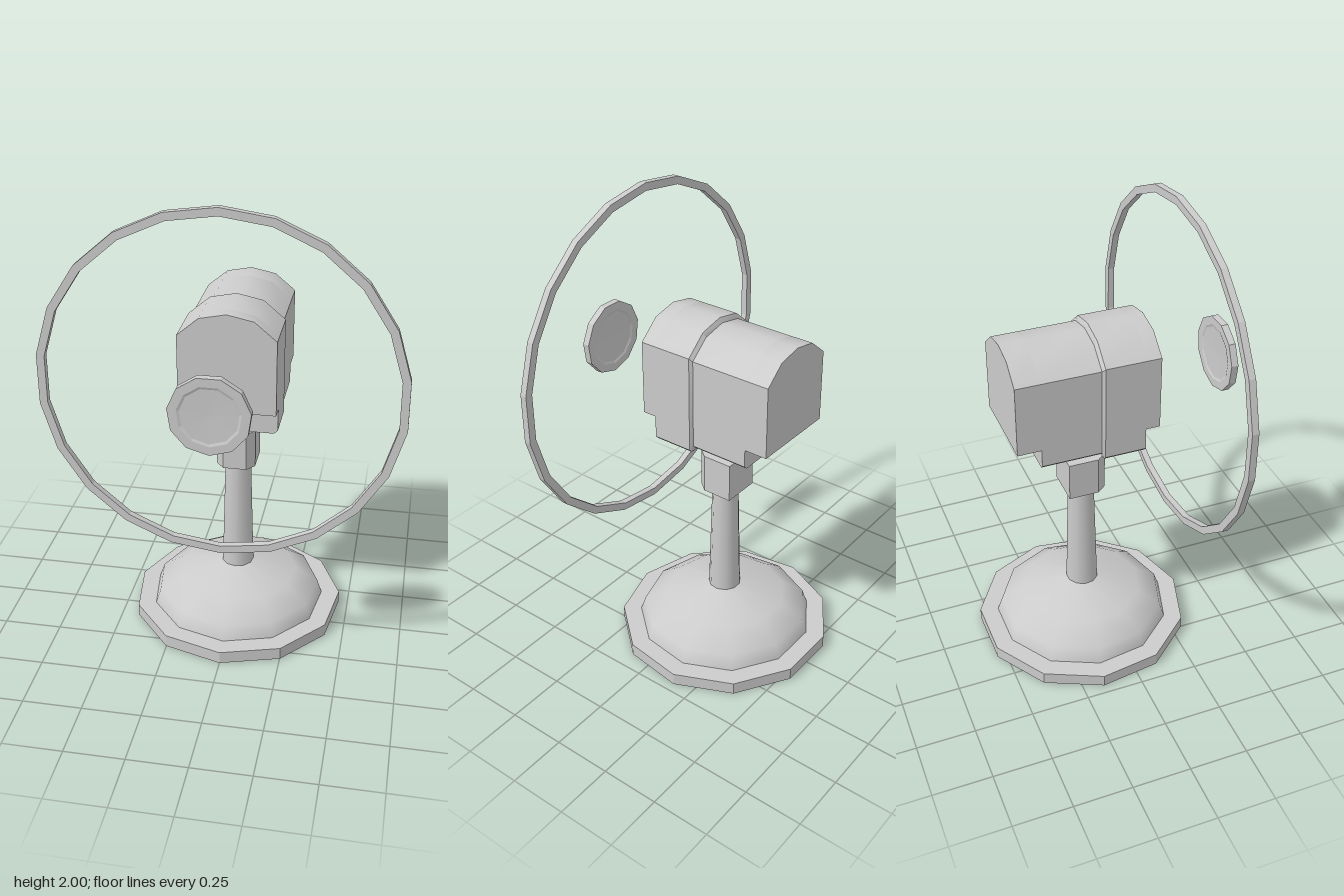
import * as THREE from 'three';
import { toCreasedNormals } from 'three/addons/utils/BufferGeometryUtils.js';

const CENTER_Z = -0.094; // axis of the stand
const HEAD_Y = 1.27; // axis of the ring and disc

const smooth = new THREE.MeshStandardMaterial({ color: 0xcccccc, side: THREE.DoubleSide });
const flat = new THREE.MeshStandardMaterial({ color: 0xcccccc, side: THREE.DoubleSide, flatShading: true });

const vectors = (points) => points.map(([x, y]) => new THREE.Vector2(x, y));

export function createModel() {
  const model = new THREE.Group();

  function add(name, geometry, material = flat, x = 0, y = 0, z = 0, parent = model) {
    const mesh = new THREE.Mesh(geometry, material);
    mesh.name = name;
    mesh.position.set(x, y, z);
    parent.add(mesh);
    return mesh;
  }
  const lathe = (points, sides) => new THREE.LatheGeometry(vectors(points), sides);

  // Extrudes an outline between two depths
  function slab(points, back, front) {
    const geometry = new THREE.ExtrudeGeometry(new THREE.Shape(vectors(points)), {
      depth: front - back, bevelEnabled: false,
    });
    return geometry.translate(0, 0, back);
  }

  // Foot: open rim and hollow dome
  add('baseRim', lathe([[0.4645, 0], [0.4645, 0.055], [0.384, 0.055]], 11), flat, 0, 0, CENTER_Z);
  add('baseDome', lathe([[0.384, 0.055], [0.362, 0.12], [0.264, 0.187], [0.065, 0.24]], 11),
    smooth, 0, 0, CENTER_Z);

  // Column, collar with chamfered front corners, and neck
  add('column', new THREE.CylinderGeometry(0.056, 0.07, 0.53, 11), smooth, 0, 0.495, -0.09);
  const collar = slab([[-0.083, 0.17], [-0.083, 0.04], [-0.05, 0], [0.05, 0], [0.083, 0.04], [0.083, 0.17]], 0, 0.17);
  collar.rotateX(-Math.PI / 2);
  add('collar', collar, flat, 0, 0.75, 0);
  add('neck', new THREE.BoxGeometry(0.08, 0.12, 0.155), flat, 0, 0.97, -0.09);

  // Motor housing: arched outline reaching down to a chosen bottom
  const head = new THREE.Group();
  head.name = 'motorHousing';
  model.add(head);
  const arch = (bottom, chamfer) => [
    [-0.2 + chamfer, bottom], [0.2 - chamfer, bottom],
    ...(chamfer ? [[0.2, bottom + chamfer]] : []),
    [0.2, 1.43], [0.11, 1.507], [0, 1.53], [-0.11, 1.507], [-0.2, 1.43],
    ...(chamfer ? [[-0.2, bottom + chamfer]] : []),
  ];
  const full = arch(1.0, 0.015);
  const step = arch(1.11, 0);
  const shrink = ([x, y]) => [x * 0.95, 1.265 + (y - 1.265) * 0.925];
  const shell = (name, geometry) => add(name, toCreasedNormals(geometry, 0.6), smooth, 0, 0, 0, head);

  shell('frontStep', slab(step, 0.12, 0.18));
  shell('frontHousing', slab(full, -0.055, 0.12));
  shell('rearHousing', slab(full.map(shrink), -0.32, -0.067));
  shell('rearStep', slab(arch(1.098, 0).map(shrink), -0.42, -0.32));

  // Narrow bevel joining the two housings
  const bevel = slab(full, -0.067, -0.055);
  const position = bevel.attributes.position;
  for (let i = 0; i < position.count; i++) {
    if (position.getZ(i) > -0.06) continue;
    const [x, y] = shrink([position.getX(i), position.getY(i)]);
    position.setXY(i, x, y);
  }
  shell('housingBevel', bevel);

  // Guard ring with a rectangular section
  const ring = lathe([[0.697, -0.014], [0.73, -0.014], [0.73, 0.014], [0.697, 0.014], [0.697, -0.014]], 22);
  add('guardRing', ring.rotateX(Math.PI / 2), flat, 0, HEAD_Y, 0.32);

  // Front disc with slightly dished faces
  const disc = lathe([
    [0, -0.008], [0.115, -0.011], [0.125, -0.015], [0.161, -0.015],
    [0.161, 0.015], [0.125, 0.015], [0.115, 0.011], [0, 0.008],
  ], 11);
  add('frontDisc', disc.rotateX(Math.PI / 2), flat, 0, HEAD_Y, 0.525);

  return model;
}
